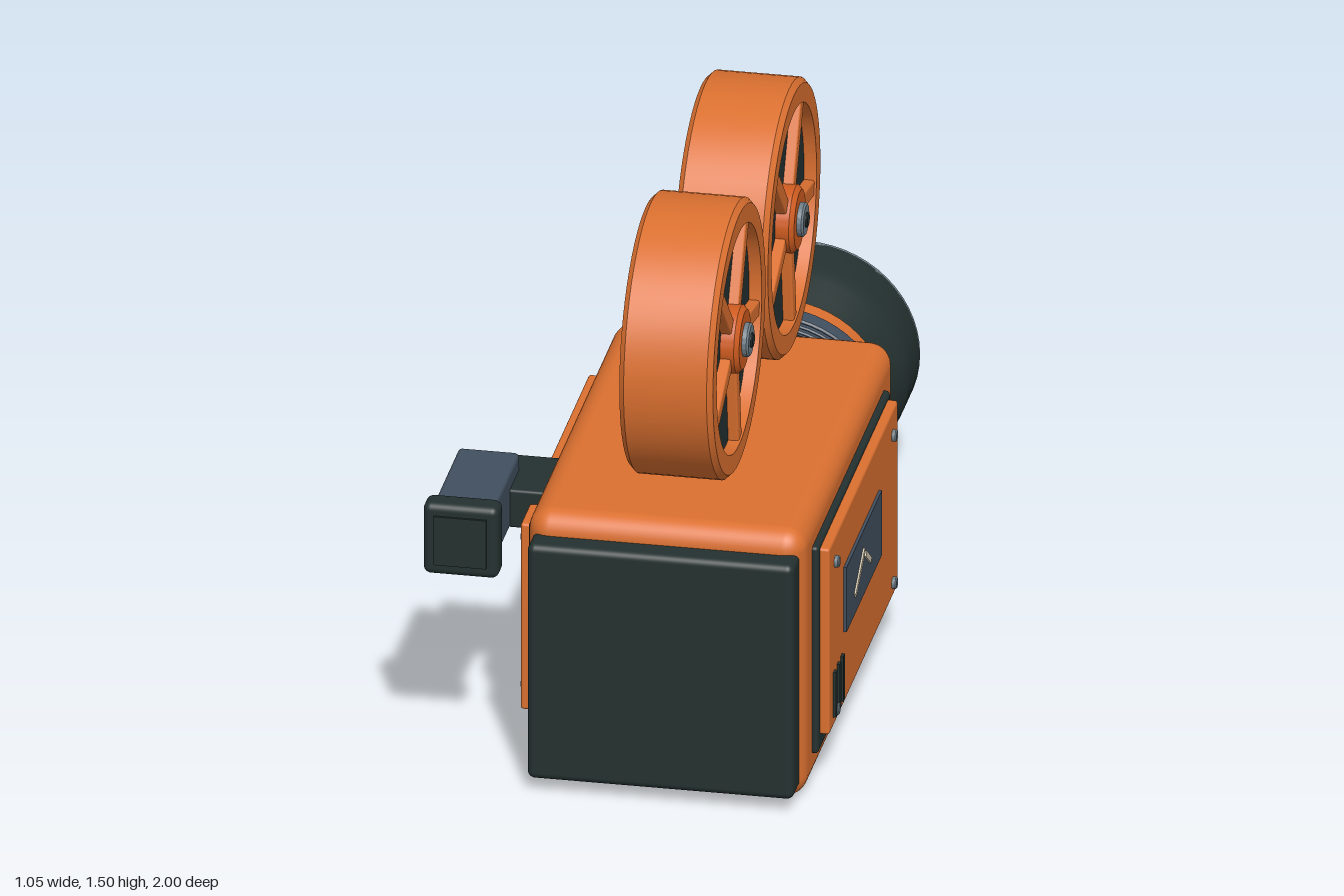
import * as THREE from 'three';
import { toCreasedNormals } from 'three/addons/utils/BufferGeometryUtils.js';
import { RoundedBoxGeometry } from 'three/addons/geometries/RoundedBoxGeometry.js';

const CX = 0.105; // the body's own centre line

function makeMaterial(name, color) {
  const m = new THREE.MeshStandardMaterial({ color });
  m.name = name;
  return m;
}

export function createModel() {
  const orange = makeMaterial('orange', 0xdb7030);
  const deepOrange = makeMaterial('deep orange', 0xcf5c20);
  const dark = makeMaterial('charcoal', 0x243130);
  const slate = makeMaterial('slate', 0x414f5f);
  const steel = makeMaterial('steel', 0x6f7e88);
  const cream = makeMaterial('cream', 0xcfc4ac);

  const model = new THREE.Group();
  model.name = 'filmCamera';

  const add = (parent, name, geometry, material) => {
    const mesh = new THREE.Mesh(geometry, material);
    mesh.name = name;
    parent.add(mesh);
    return mesh;
  };

  // Box from its limits, optionally with rounded edges
  const box = (parent, name, mat, [x0, x1], [y0, y1], [z0, z1], r = 0) => {
    const size = [Math.abs(x1 - x0), y1 - y0, z1 - z0];
    const geo = r ? new RoundedBoxGeometry(...size, 4, r) : new THREE.BoxGeometry(...size);
    const mesh = add(parent, name, geo, mat);
    mesh.position.set((x0 + x1) / 2, (y0 + y1) / 2, (z0 + z1) / 2);
    return mesh;
  };

  // Turned part from [radius, height] pairs, with crisp edges
  const turned = (parent, name, mat, points) => add(parent, name, toCreasedNormals(
    new THREE.LatheGeometry(points.map(([r, y]) => new THREE.Vector2(r, y)), 56), 0.4), mat);

  // Solid disc between two heights with a small bevel
  const disc = (parent, name, mat, r, y0, y1, b = 0.005) => turned(parent, name, mat,
    [[0, y0], [r - b, y0], [r, y0 + b], [r, y1 - b], [r - b, y1], [0, y1]]);

  // Body and rear cover
  box(model, 'body', orange, [-0.26, 0.47], [0, 0.765], [-0.29, 0.935], 0.06);
  box(model, 'rearCover', dark, [-0.245, 0.455], [0.037, 0.705], [0.90, 1.0], 0.02);

  // Side panels, one on each side
  for (const s of [1, -1]) {
    const side = new THREE.Group();
    side.name = s > 0 ? 'leftPanel' : 'rightPanel';
    model.add(side);
    const span = (a, b) => [CX + s * a, CX + s * b];
    box(side, 'panelFrame', dark, span(0.34, 0.381), [0.09, 0.68], [-0.15, 0.82], 0.01);
    box(side, 'panel', orange, span(0.36, 0.406), [0.137, 0.667], [-0.122, 0.797], 0.008);
    box(side, 'window', slate, span(0.405, 0.414), [0.343, 0.528], [0.133, 0.606]);
    for (const z of [0.737, 0.688, 0.64]) {
      box(side, 'ventSlot', dark, span(0.405, 0.414), [0.165, 0.293], [z - 0.01, z + 0.01]);
    }
    for (const z of [0.72, -0.052]) {
      for (const y of [0.598, 0.178]) {
        const screw = disc(side, 'screw', steel, 0.016, 0, 0.016, 0.003);
        screw.position.set(CX + s * 0.402, y, z);
        screw.rotation.z = -s * Math.PI / 2;
      }
    }
    // Two slanted strokes on the window, the long one to the viewer's left
    const strokes = [[-0.068, 0.437, 0.143, 0.56], [0.042, 0.431, 0.086, -0.64]];
    for (const [u, y, length, angle] of strokes) {
      const z = 0.372 - s * (u - 0.002);
      const stroke = box(side, 'windowMark', cream, span(0.412, 0.419),
        [y - 0.008, y + 0.008], [z - length / 2, z + length / 2]);
      stroke.rotation.x = s * angle;
    }
  }

  // Film reels
  const reel = new THREE.Group();
  reel.name = 'reel';
  const W = 0.123, R = 0.367, inner = 0.302, bevel = 0.014;
  turned(reel, 'reelRim', orange, [
    [inner, -W], [R - bevel, -W], [R, -W + bevel], [R, W - bevel],
    [R - bevel, W], [inner, W], [inner, -W],
  ]);
  disc(reel, 'reelDisc', dark, inner + 0.01, -0.09, 0.09);
  disc(reel, 'hub', deepOrange, 0.09, -0.138, 0.138, 0.012);
  disc(reel, 'hubCap', steel, 0.045, -0.155, 0.155);
  disc(reel, 'axle', dark, 0.02, -0.161, 0.161, 0.003);
  for (let i = 0; i < 5; i++) {
    const pivot = new THREE.Group();
    pivot.name = 'spokePivot';
    pivot.rotation.y = -THREE.MathUtils.degToRad(10 + 72 * i);
    reel.add(pivot);
    for (const s of [1, -1]) {
      const spoke = add(pivot, 'spoke', new RoundedBoxGeometry(0.25, 0.035, 0.044, 2, 0.006), orange);
      spoke.position.set(0.19, s * 0.1, 0);
    }
  }
  // Turn the reel axis sideways, with the spoke angles measured from -z
  reel.quaternion.setFromRotationMatrix(new THREE.Matrix4().makeBasis(
    new THREE.Vector3(0, 0, -1), new THREE.Vector3(1, 0, 0), new THREE.Vector3(0, -1, 0)));
  for (const [name, z] of [['rearReel', 0.562], ['frontReel', -0.175]]) {
    const copy = reel.clone();
    copy.name = name;
    copy.position.set(CX, 1.133, z);
    model.add(copy);
  }

  // Lens, turned around an axis that points to -z
  box(model, 'lensMount', deepOrange, [-0.215, 0.425], [0.062, 0.705], [-0.36, -0.26], 0.022);
  const lens = new THREE.Group();
  lens.name = 'lens';
  lens.position.set(CX, 0.385, 0);
  lens.rotation.x = -Math.PI / 2;
  model.add(lens);
  disc(lens, 'lensBase', dark, 0.305, 0.34, 0.44, 0.008);
  disc(lens, 'barrel', slate, 0.264, 0.43, 0.63);
  for (let i = 0; i < 4; i++) {
    disc(lens, 'gripRing', slate, 0.278, 0.446 + i * 0.029, 0.468 + i * 0.029, 0.004);
  }
  disc(lens, 'focusRing', slate, 0.28, 0.561, 0.62);
  disc(lens, 'lensBand', orange, 0.27, 0.62, 0.69, 0.008);
  turned(lens, 'lensHood', dark, [
    [0, 0.685], [0.238, 0.685], [0.262, 0.755], [0.283, 0.805], [0.292, 0.835],
    [0.295, 0.86], [0.295, 0.98], [0.25, 0.98], [0.235, 0.95], [0, 0.95],
  ]);
  turned(lens, 'hoodRim', steel, [
    [0.25, 0.972], [0.295, 0.972], [0.295, 0.988], [0.285, 1.0], [0.258, 1.0], [0.25, 0.972],
  ]);
  turned(lens, 'innerRing', dark, [
    [0.17, 0.945], [0.215, 0.945], [0.215, 0.972], [0.205, 0.978], [0.185, 0.978], [0.17, 0.945],
  ]);
  turned(lens, 'glass', dark, [[0.17, 0.948], [0.15, 0.957], [0.1, 0.966], [0.05, 0.97], [0, 0.972]]);

  // Viewfinder on the right side
  const finder = new THREE.Group();
  finder.name = 'viewfinder';
  model.add(finder);
  box(finder, 'finderArm', dark, [-0.465, -0.24], [0.595, 0.703], [0.46, 0.677], 0.008);
  box(finder, 'finderTube', slate, [-0.512, -0.352], [0.592, 0.75], [0.545, 0.88], 0.012);
  box(finder, 'eyepiece', dark, [-0.53, -0.332], [0.568, 0.77], [0.867, 0.94], 0.02);
  box(finder, 'eyepieceGlass', dark, [-0.5, -0.362], [0.6, 0.738], [0.938, 0.946]);

  return model;
}
